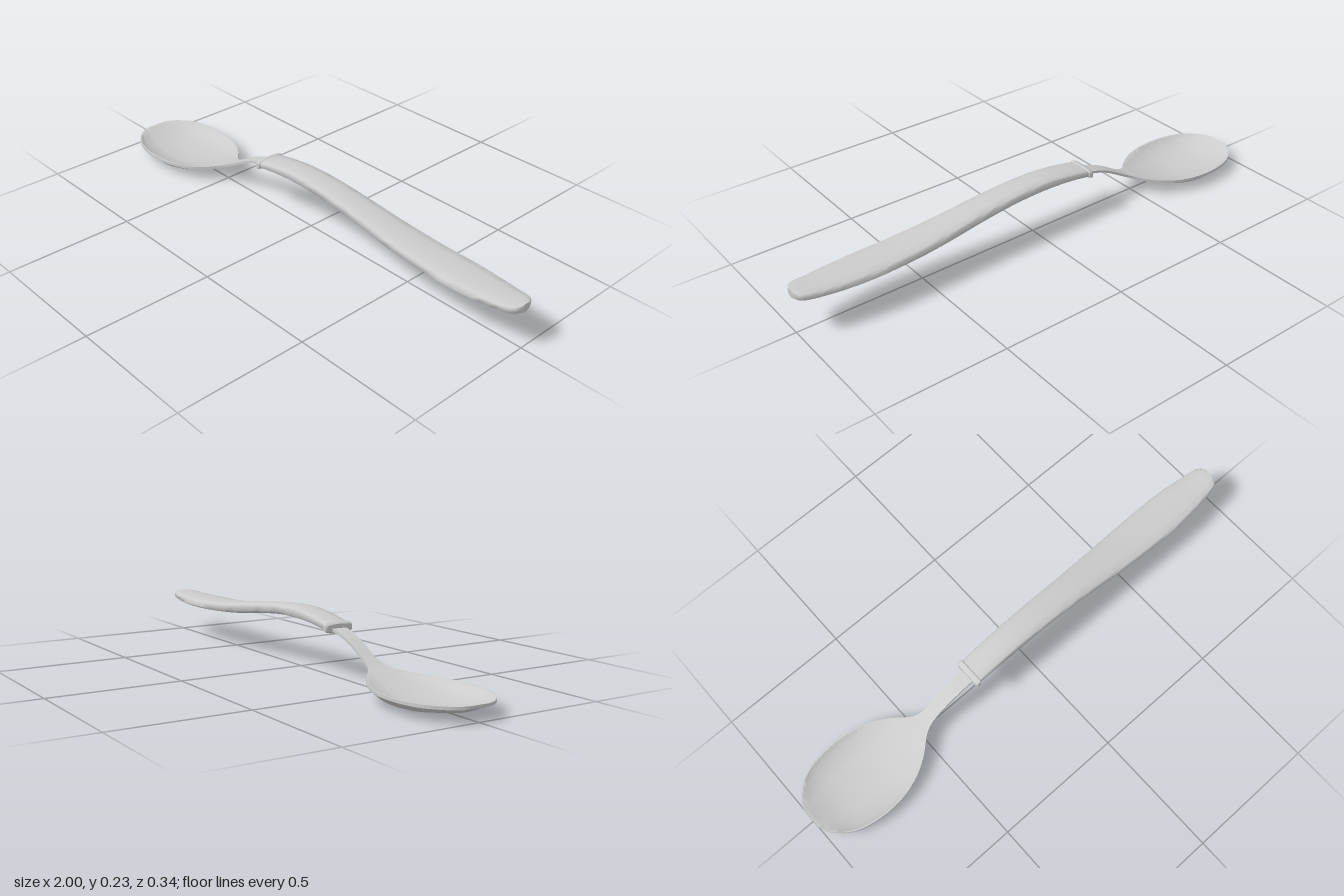
import * as THREE from 'three';
import { toCreasedNormals } from 'three/addons/utils/BufferGeometryUtils.js';

// Smoothly resample stations of [x, halfWidth, top, bottom]
function resample(stations, steps) {
  const a = new THREE.CatmullRomCurve3(stations.map(s => new THREE.Vector3(s[0], s[1], s[2])), false, 'catmullrom', 0.5);
  const b = new THREE.CatmullRomCurve3(stations.map(s => new THREE.Vector3(s[0], s[3], 0)), false, 'catmullrom', 0.5);
  return Array.from({ length: steps + 1 }, (_, i) => {
    const p = a.getPoint(i / steps), q = b.getPoint(i / steps);
    return [p.x, p.y, p.z, q.y];
  });
}

// Mirror a half outline [z, y] (top centre to bottom centre) into a closed ring
function mirrorRing(half) {
  return [...half, ...half.slice(1, -1).reverse().map(([z, y]) => [-z, y])];
}

// Skin closed cross-sections along x and cap both ends
function loft(name, stations, section, crease) {
  const pos = [], index = [];
  const rings = stations.map(s => mirrorRing(section(...s)));
  const n = rings[0].length;
  rings.forEach((ring, i) => ring.forEach(([z, y]) => pos.push(stations[i][0], y, z)));
  for (let i = 0; i < rings.length - 1; i++) {
    for (let j = 0; j < n; j++) {
      const a = i * n + j, b = i * n + (j + 1) % n;
      index.push(a, b, a + n, b, b + n, a + n);
    }
  }
  for (const i of [0, rings.length - 1]) {
    const centre = pos.length / 3;
    const [x, , top, bottom] = stations[i];
    pos.push(x, (top + bottom) / 2, 0);
    for (let j = 0; j < n; j++) {
      const a = i * n + j, b = i * n + (j + 1) % n;
      if (i === 0) index.push(centre, b, a);
      else index.push(centre, a, b);
    }
  }
  const geometry = new THREE.BufferGeometry();
  geometry.setAttribute('position', new THREE.Float32BufferAttribute(pos, 3));
  geometry.setIndex(index);
  const mesh = new THREE.Mesh(toCreasedNormals(geometry, crease),
    new THREE.MeshStandardMaterial({ color: 0xcccccc }));
  mesh.name = name;
  return mesh;
}

// Crowned slab with upright sides
function gripSection(x, w, top, bottom) {
  const mid = (top + bottom) / 2, h = (top - bottom) / 2;
  return [[0, 1], [0.5, 0.92], [0.92, 0.74], [1, 0.5], [1, -0.4], [0.92, -0.62], [0.5, -0.86], [0, -1]]
    .map(([z, y]) => [z * w, mid + y * h]);
}

// Hollow dish that flattens into a bar where it is shallow
function bowlSection(x, w, top, bottom) {
  const depth = top - bottom;
  const hollow = Math.max(0, depth - 0.014);
  const edge = Math.min(0.011, depth * 0.75);
  const inner = [[0, 1], [0.45, 0.84], [0.82, 0.56], [0.96, 0]].map(([z, d]) => [z * w, top - d * hollow]);
  const outer = [[0.87, 0.58], [0.45, 0.81], [0, 1]].map(([z, d]) => [z * w, top - Math.max(edge, d * depth)]);
  return [...inner, [w, top], [w, top - edge], ...outer];
}

export function createModel() {
  const group = new THREE.Group();
  group.name = 'spoon';

  // Bowl and slim neck in one piece
  const bowl = [
    [-1, 0.04, 0.057, 0.045], [-0.98, 0.083, 0.057, 0.036], [-0.93, 0.13, 0.057, 0.018],
    [-0.87, 0.156, 0.056, 0.006], [-0.78, 0.168, 0.056, 0.002], [-0.69, 0.16, 0.057, 0.008],
    [-0.61, 0.132, 0.06, 0.025], [-0.55, 0.095, 0.066, 0.043], [-0.5, 0.052, 0.076, 0.062],
    [-0.47, 0.034, 0.087, 0.074], [-0.43, 0.026, 0.107, 0.093], [-0.37, 0.026, 0.141, 0.127],
    [-0.31, 0.028, 0.167, 0.154], [-0.23, 0.03, 0.188, 0.174],
  ];
  group.add(loft('bowlAndNeck', resample(bowl, 39), bowlSection, 0.7));

  // Collar between neck and handle
  const collar = [
    [-0.253, 0.05, 0.198, 0.166], [-0.248, 0.057, 0.203, 0.161],
    [-0.234, 0.057, 0.207, 0.165], [-0.229, 0.05, 0.204, 0.17],
  ];
  group.add(loft('collar', collar, gripSection, 0.6));

  // Curved handle, widest near its far end
  const handle = [
    [-0.235, 0.051, 0.203, 0.169], [-0.15, 0.052, 0.219, 0.18], [-0.05, 0.053, 0.231, 0.186],
    [0.05, 0.055, 0.232, 0.186], [0.15, 0.057, 0.226, 0.18], [0.27, 0.06, 0.214, 0.166],
    [0.4, 0.066, 0.197, 0.149], [0.52, 0.072, 0.184, 0.138], [0.63, 0.075, 0.177, 0.133],
    [0.73, 0.077, 0.174, 0.132], [0.83, 0.071, 0.173, 0.133], [0.92, 0.06, 0.174, 0.138],
    [0.98, 0.048, 0.178, 0.144], [1, 0.02, 0.179, 0.147],
  ];
  group.add(loft('handle', resample(handle, 39), gripSection, 0.9));

  return group;
}
